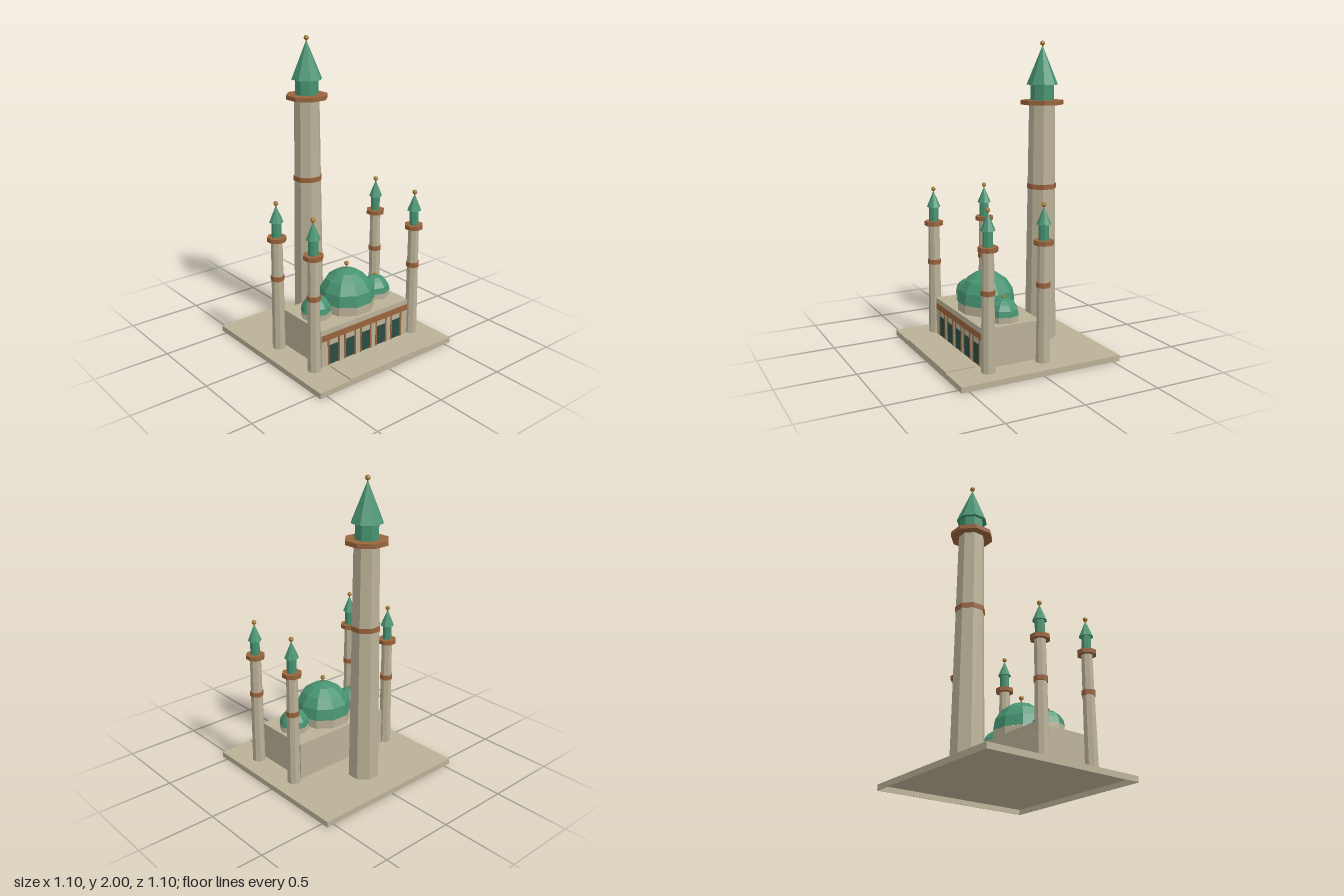
import * as THREE from 'three';

const mat = (name, color) => {
  const m = new THREE.MeshStandardMaterial({ color, flatShading: true });
  m.name = name;
  return m;
};

export function createModel() {
  const stone = mat('sandstone', 0xbab197);
  const green = mat('dome green', 0x479371);
  const brown = mat('brown trim', 0x99643c);
  const glass = mat('dark window', 0x2c4c44);
  const gold = mat('gold', 0xa57c38);

  const root = new THREE.Group();
  root.name = 'domedBuilding';

  const add = (parent, name, geometry, material, x = 0, y = 0, z = 0) => {
    const mesh = new THREE.Mesh(geometry, material);
    mesh.name = name;
    mesh.position.set(x, y, z);
    parent.add(mesh);
    return mesh;
  };
  // box given by its x, y and z limits
  const box = (parent, name, material, x0, x1, y0, y1, z0, z1) =>
    add(parent, name, new THREE.BoxGeometry(x1 - x0, y1 - y0, z1 - z0), material,
      (x0 + x1) / 2, (y0 + y1) / 2, (z0 + z1) / 2);
  // octagonal frustum with flat sides facing the axes; radii are half widths
  const octagon = (parent, name, material, bottom, top, y0, y1) => {
    const k = 1 / Math.cos(Math.PI / 8);
    const g = new THREE.CylinderGeometry(top * k, bottom * k, y1 - y0, 8);
    g.rotateY(Math.PI / 8);
    return add(parent, name, g, material, 0, (y0 + y1) / 2, 0);
  };
  const finial = (parent, tip, y, r) => {
    add(parent, 'finialStem', new THREE.CylinderGeometry(r * 0.3, r * 0.3, y - tip + 0.02, 6),
      gold, 0, (y + tip - 0.02) / 2, 0);
    add(parent, 'finialBall', new THREE.SphereGeometry(r, 8, 4), gold, 0, y, 0);
  };

  // ground slab, hollow underneath, and front forecourt
  const B = 0.549, T = 0.004;
  box(root, 'baseTop', stone, -B, B, 0.033, 0.037, -B, B);
  for (const s of [-1, 1]) {
    const a = s * (B - T / 2);
    box(root, 'baseSide', stone, a - T / 2, a + T / 2, 0, 0.033, -B, B);
    box(root, 'baseEnd', stone, T - B, B - T, 0, 0.033, a - T / 2, a + T / 2);
  }
  box(root, 'forecourt', stone, -0.313, 0.313, 0.035, 0.045, 0.35, B);

  // prayer hall with frieze and five framed windows
  const hall = new THREE.Group();
  hall.name = 'hall';
  root.add(hall);
  box(hall, 'hallWalls', stone, -0.364, 0.364, 0.036, 0.288, -0.076, 0.322);
  box(hall, 'frieze', brown, -0.362, 0.362, 0.211, 0.253, 0.32, 0.3235);
  for (let i = -2; i <= 2; i++) {
    const x = i * 0.132;
    box(hall, 'window', glass, x - 0.035, x + 0.035, 0.042, 0.174, 0.32, 0.3235);
    for (const s of [-1, 1]) {
      const c = x + s * 0.042;
      box(hall, 'windowPost', brown, c - 0.007, c + 0.007, 0.037, 0.211, 0.32, 0.3235);
    }
  }

  // faceted, slightly pointed domes on low drums
  const profile = [[1, 0], [0.93, 0.36], [0.72, 0.67], [0.39, 0.88], [0, 1]];
  const dome = (name, x, r, sides, y0, y1, ballY, ballR) => {
    const g = new THREE.Group();
    g.name = name;
    g.position.set(x, 0, 0.125);
    const drum = new THREE.CylinderGeometry(r * 0.98, r * 0.98, y0 - 0.28, sides);
    drum.rotateY(Math.PI / 2);
    add(g, 'drum', drum, stone, 0, (y0 + 0.28) / 2, 0);
    const points = profile.map(([px, py]) => new THREE.Vector2(px * r, py * (y1 - y0)));
    const cap = new THREE.LatheGeometry(points, sides);
    cap.rotateY(Math.PI / 2);
    add(g, 'domeCap', cap, green, 0, y0, 0);
    finial(g, y1, ballY, ballR);
    root.add(g);
  };
  dome('mainDome', 0, 0.187, 10, 0.348, 0.552, 0.582, 0.016);
  for (const s of [-1, 1]) dome('sideDome', s * 0.25, 0.099, 8, 0.327, 0.432, 0.437, 0.011);

  // towers: shaft, band, balcony, lantern, spire, finial
  const tower = (name, x, z, p) => {
    const g = new THREE.Group();
    g.name = name;
    g.position.set(x, 0, z);
    octagon(g, 'shaft', stone, p.base, p.top, 0.036, p.balcony[0]);
    octagon(g, 'band', brown, p.bandR, p.bandR, ...p.band);
    octagon(g, 'balcony', brown, p.balconyR, p.balconyR, ...p.balcony);
    octagon(g, 'lantern', green, p.lanternR, p.lanternR, p.balcony[1], p.eave);
    octagon(g, 'spire', green, p.spireR, 0, p.eave, p.tip);
    finial(g, p.tip, p.ballY, p.ballR);
    root.add(g);
  };
  tower('greatTower', 0, -0.282, {
    base: 0.096, top: 0.078, band: [1.052, 1.084], bandR: 0.089, balcony: [1.596, 1.624],
    balconyR: 0.128, lanternR: 0.071, eave: 1.722, spireR: 0.094, tip: 1.97, ballY: 1.983, ballR: 0.017,
  });
  for (const x of [-0.412, 0.412]) {
    for (const z of [-0.064, 0.312]) {
      tower('cornerTower', x, z, {
        base: 0.04, top: 0.034, band: [0.516, 0.548], bandR: 0.041, balcony: [0.782, 0.81],
        balconyR: 0.057, lanternR: 0.029, eave: 0.907, spireR: 0.042, tip: 1.016, ballY: 1.028, ballR: 0.016,
      });
    }
  }
  return root;
}
